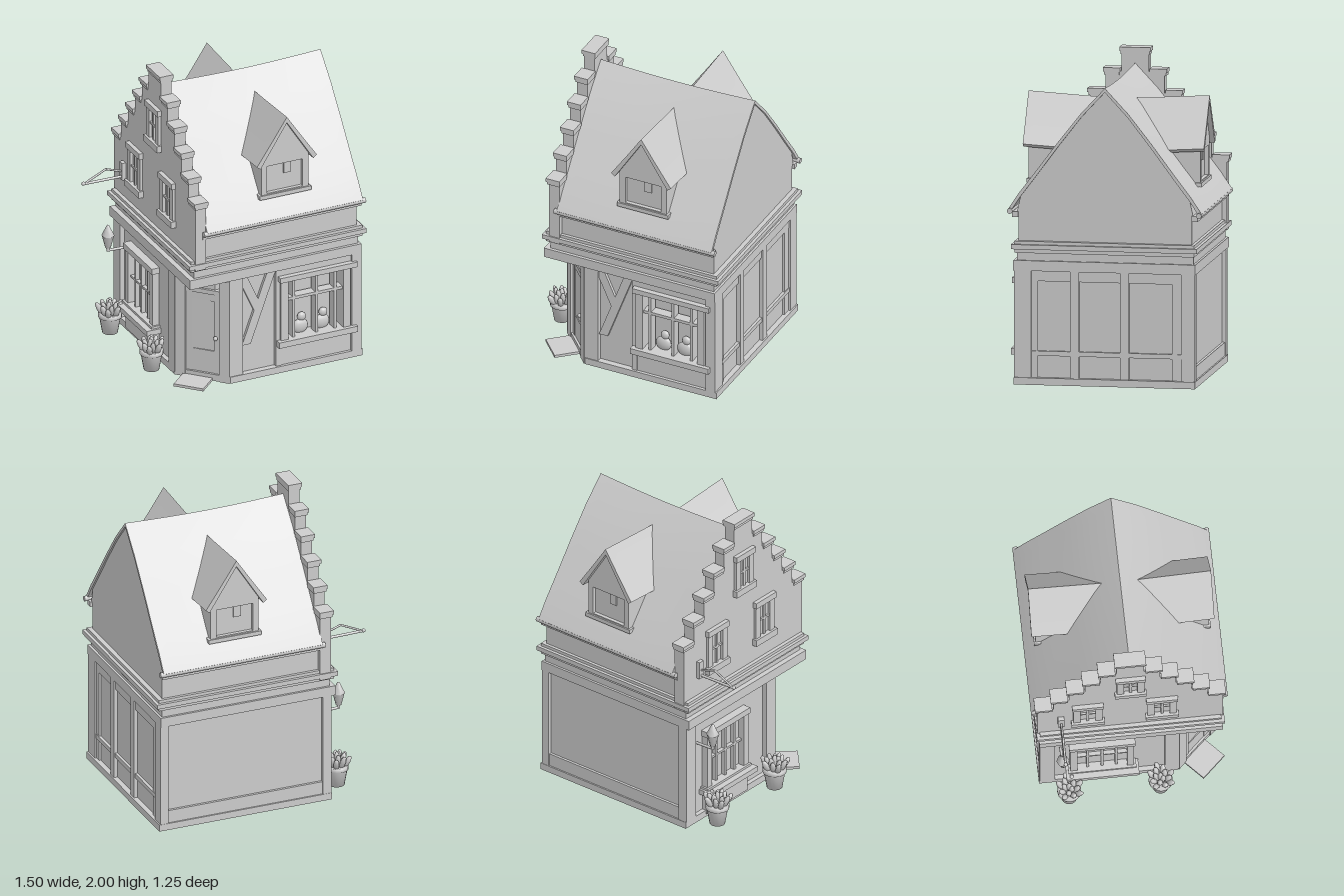
import * as THREE from 'three';
import { toCreasedNormals } from 'three/addons/utils/BufferGeometryUtils.js';

const stone = new THREE.MeshStandardMaterial({ color: 0xcccccc });
stone.name = 'pale grey';

function add(parent, name, geo, x = 0, y = 0, z = 0) {
  const m = new THREE.Mesh(geo, stone);
  m.name = name;
  m.position.set(x, y, z);
  parent.add(m);
  return m;
}
// box given by its limits on each axis
function box(p, name, x0, x1, y0, y1, z0, z1) {
  return add(p, name, new THREE.BoxGeometry(x1 - x0, y1 - y0, z1 - z0),
    (x0 + x1) / 2, (y0 + y1) / 2, (z0 + z1) / 2);
}
const shapeOf = (pts) => new THREE.Shape(pts.map(([a, b]) => new THREE.Vector2(a, b)));
const extrude = (shape, depth, steps = 1) =>
  new THREE.ExtrudeGeometry(shape, { depth, steps, bevelEnabled: false });
// floor-plan outline [x, z] raised from y0 to y1
function slab(p, name, plan, y0, y1) {
  const g = extrude(shapeOf(plan.map(([x, z]) => [x, -z])), y1 - y0).rotateX(-Math.PI / 2);
  return add(p, name, g, 0, y0, 0);
}
// [z, y] outline, symmetric in z, running along x
const alongX = (pts, x0, x1, steps) =>
  extrude(shapeOf(pts), x1 - x0, steps).rotateY(Math.PI / 2).translate(x0, 0, 0);
// lower the vertices by a rule, then smooth all but the sharp edges
function sag(geo, drop) {
  const p = geo.attributes.position;
  for (let i = 0; i < p.count; i++) p.setY(i, p.getY(i) - drop(p.getX(i), p.getY(i), p.getZ(i)));
  return toCreasedNormals(geo, 0.5);
}
// round bar between two points
function bar(p, name, a, b, r) {
  const A = new THREE.Vector3(...a), d = new THREE.Vector3(...b).sub(A);
  const m = add(p, name, new THREE.CylinderGeometry(r, r, d.length(), 8));
  m.position.copy(A).addScaledVector(d, 0.5);
  m.quaternion.setFromUnitVectors(new THREE.Vector3(0, 1, 0), d.normalize());
}
function lathe(p, name, profile, sides) {
  add(p, name, new THREE.LatheGeometry(profile.map(([r, y]) => new THREE.Vector2(r, y)), sides));
}
function group(p, name, x = 0, y = 0, z = 0, ry = 0) {
  const g = new THREE.Group();
  g.name = name;
  g.position.set(x, y, z);
  g.rotation.y = ry;
  p.add(g);
  return g;
}
// window facing local +z, centred on x = 0, with its sill at y = 0
function windowFrame(p, w, h, d, cols, rows) {
  const t = 0.022;
  for (const s of [-1, 1]) box(p, 'windowJamb', s * w / 2 - t, s * w / 2 + t, 0, h, 0, d);
  box(p, 'windowSill', -w / 2 - 0.035, w / 2 + 0.035, -0.03, 0.015, 0, d + 0.015);
  box(p, 'windowHead', -w / 2 - 0.03, w / 2 + 0.03, h - 0.02, h + 0.02, 0, d + 0.01);
  for (let i = 1; i < cols; i++) {
    const x = -w / 2 + w * i / cols;
    box(p, 'mullion', x - 0.008, x + 0.008, 0, h, 0, d * 0.7);
  }
  for (let i = 1; i < rows; i++) {
    const y = h * i / rows;
    box(p, 'glazingBar', -w / 2, w / 2, y - 0.007, y + 0.007, 0, d * 0.65);
  }
}

const ROOF = [[0, 1.9], [0.15, 1.74], [0.3, 1.55], [0.45, 1.35], [0.55, 1.22], [0.62, 1.115]];
const mirrored = (pts) => [...pts.slice(1).reverse().map(([z, y]) => [-z, y]), ...pts];

function buildRoof(g) {
  const under = ROOF.map(([z, y]) => [z * 0.985, y - 0.025]);
  const geo = alongX([...mirrored(ROOF), ...mirrored(under).reverse()], -0.38, 0.71, 16);
  // the ridge sags in the middle
  add(g, 'roof', sag(geo, (x, y) =>
    0.015 * Math.sin(Math.PI * (x + 0.38) / 1.09) * (y - 1.08) / 0.82));
  const wall = ROOF.map(([z, y]) => [Math.min(z * 0.985, 0.565), y - 0.024]);
  add(g, 'plainGable', alongX(mirrored(wall), -0.37, 0.698, 1));
  for (const s of [-1, 1]) {
    bar(g, 'gutter', [-0.4, 1.105, s * 0.605], [0.73, 1.105, s * 0.605], 0.018);
    box(g, 'eaveBoard', -0.4, 0.71, 1.065, 1.1, s * 0.575 - 0.02, s * 0.575 + 0.02);
  }
}

function buildDormer(g, ry) {
  const d = group(g, 'dormer', 0.195, 0, 0, ry);
  const face = shapeOf([[-0.165, 1.24], [0.165, 1.24], [0.165, 1.5], [0, 1.76], [-0.165, 1.5]]);
  face.holes.push(new THREE.Path([[-0.125, 1.27], [-0.125, 1.46], [0.125, 1.46], [0.125, 1.27]]
    .map(([x, y]) => new THREE.Vector2(x, y))));
  add(d, 'dormerFront', extrude(face, 0.3), 0, 0, 0.25);
  box(d, 'dormerPane', -0.13, 0.13, 1.25, 1.48, 0.3, 0.525);
  box(d, 'dormerSill', -0.18, 0.18, 1.235, 1.262, 0.5, 0.56);
  box(d, 'dormerLatch', 0, 0.05, 1.38, 1.46, 0.51, 0.535);
  // roof dips slightly toward the back
  const roof = shapeOf([[-0.21, 1.485], [-0.185, 1.465], [0, 1.755], [0.185, 1.465],
    [0.21, 1.485], [0.1, 1.645], [0, 1.795], [-0.1, 1.645]]);
  add(d, 'dormerRoof', sag(extrude(roof, 0.48, 6).translate(0, 0, 0.1),
    (x, y, z) => 0.06 * (0.58 - z)));
}

function buildSteppedGable(g) {
  const s = group(g, 'steppedGable');
  for (let i = 0; i < 6; i++) {
    const w = 0.1 * (i + 1) - 0.012, top = 2 - 0.134 * i;
    box(s, 'gableStep', -0.45, -0.375, i === 5 ? 0.85 : top - 0.16, top - 0.02, -w, w);
    for (const k of i ? [-1, 1] : [0]) {
      const c = k * (0.1 * i + 0.05), h = i ? 0.055 : 0.1;
      box(s, 'copingStone', -0.463, -0.367, top - 0.025, top, c - h, c + h);
      box(s, 'copingMoulding', -0.456, -0.37, top - 0.045, top - 0.025, c - h + 0.006, c + h - 0.006);
    }
  }
  for (const [z, y, w, h] of [[-0.27, 1.06, 0.14, 0.26], [0.2, 1.06, 0.14, 0.26], [0, 1.5, 0.13, 0.24]])
    windowFrame(group(s, 'gableWindow', -0.45, y, z, -Math.PI / 2), w, h, 0.018, 2, 2);
}

function buildGroundFloor(g) {
  slab(g, 'groundFloorCore', [[0.69, 0.48], [0.69, -0.553], [-0.43, -0.553], [-0.43, 0.31], [-0.26, 0.48]], 0, 0.8);
  slab(g, 'plinth', [[0.725, 0.58], [0.725, -0.58], [-0.46, -0.58], [-0.46, 0.3], [-0.2, 0.58]], 0, 0.045);
  box(g, 'lowerBeam', -0.485, 0.715, 0.725, 0.79, -0.58, 0.585);
  box(g, 'overhang', -0.45, 0.7, 0.77, 0.86, -0.565, 0.565);
  box(g, 'upperStorey', -0.43, 0.695, 0.85, 1.1, -0.555, 0.555);
  box(g, 'cornice', -0.495, 0.745, 0.865, 0.895, -0.595, 0.595);
  box(g, 'corniceMoulding', -0.475, 0.725, 0.84, 0.915, -0.575, 0.575);

  // timbered front wall with shop window
  box(g, 'frontPanel', -0.2, 0.17, 0.02, 0.75, 0.45, 0.54);
  box(g, 'frontPost', -0.21, -0.11, 0.02, 0.74, 0.5, 0.575);
  box(g, 'frontPost', 0.65, 0.715, 0.02, 0.74, 0.47, 0.58);
  box(g, 'frontPost', 0.125, 0.16, 0.02, 0.74, 0.5, 0.565);
  const plank = (name, pts) => add(g, name, extrude(shapeOf(pts), 0.03), 0, 0, 0.53);
  plank('longBrace', [[-0.11, 0.24], [-0.05, 0.24], [0.13, 0.73], [0.07, 0.73]]);
  plank('shortBrace', [[-0.11, 0.73], [-0.11, 0.66], [-0.025, 0.47], [0.005, 0.54], [-0.08, 0.73]]);
  box(g, 'stallRiser', 0.14, 0.67, 0.02, 0.2, 0.45, 0.56);
  box(g, 'windowHeader', 0.14, 0.67, 0.64, 0.74, 0.45, 0.565);
  for (const x of [0.155, 0.59]) box(g, 'shopWindowSide', x, x + 0.05, 0.2, 0.65, 0.45, 0.58);
  box(g, 'shopSill', 0.13, 0.68, 0.185, 0.225, 0.48, 0.605);
  box(g, 'shopHead', 0.14, 0.68, 0.64, 0.675, 0.5, 0.6);
  for (const x of [0.25, 0.41, 0.54]) box(g, 'shopMullion', x - 0.009, x + 0.009, 0.22, 0.65, 0.5, 0.565);
  box(g, 'shopTransom', 0.2, 0.6, 0.49, 0.51, 0.5, 0.565);
  // rounded goods on display
  for (const x of [0.32, 0.47]) {
    add(g, 'goodsBase', new THREE.SphereGeometry(0.05, 12, 8).scale(1.1, 1, 0.5), x, 0.265, 0.51);
    add(g, 'goodsTop', new THREE.SphereGeometry(0.03, 10, 8).scale(1, 1, 0.7), x + 0.01, 0.33, 0.51);
  }

  // three framed bays below the plain gable
  for (const [a, b] of [[-0.575, -0.49], [-0.155, -0.1], [0.165, 0.22], [0.49, 0.575]])
    box(g, 'sidePost', 0.66, 0.715, 0.02, 0.74, a, b);
  for (const [a, b] of [[-0.49, -0.43], [0.43, 0.49]])
    box(g, 'innerPost', 0.66, 0.702, 0.02, 0.74, a, b);
  box(g, 'sideRail', 0.66, 0.708, 0.185, 0.215, -0.5, 0.5);
  box(g, 'sideHeader', 0.66, 0.704, 0.66, 0.74, -0.5, 0.5);

  // broad framed back panel
  for (const [a, b] of [[-0.455, -0.4], [0.66, 0.715]])
    box(g, 'backPost', a, b, 0.02, 0.74, -0.578, -0.5);
  box(g, 'backRail', -0.4, 0.66, 0.04, 0.13, -0.57, -0.5);

  // bay window on the stepped gable side
  box(g, 'leftPost', -0.46, -0.4, 0.02, 0.74, -0.575, -0.48);
  box(g, 'leftPost', -0.46, -0.4, 0.02, 0.74, 0.22, 0.31);
  const bay = group(g, 'bayWindow', -0.42, 0.2, -0.18, -Math.PI / 2);
  windowFrame(bay, 0.36, 0.4, 0.055, 4, 2);
  box(bay, 'bayBase', -0.2, 0.2, -0.18, -0.02, 0, 0.05);
  box(bay, 'baySill', -0.23, 0.23, -0.035, 0, 0, 0.11);

  // corner door with its step
  const door = group(g, 'cornerDoor', -0.325, 0, 0.435, Math.atan2(-0.73, 0.68));
  for (const s of [-1, 1]) {
    box(door, 'doorPost', s * 0.15 - 0.035, s * 0.15 + 0.035, 0, 0.74, -0.05, 0.012);
    box(door, 'doorStile', s * 0.095 - 0.02, s * 0.095 + 0.02, 0.03, 0.6, -0.05, -0.005);
  }
  box(door, 'doorHead', -0.15, 0.15, 0.6, 0.63, -0.05, 0);
  for (const [a, b] of [[0.03, 0.2], [0.55, 0.6]]) box(door, 'doorRail', -0.1, 0.1, a, b, -0.05, -0.008);
  add(door, 'doorKnob', new THREE.SphereGeometry(0.015, 10, 8), 0.09, 0.3, 0.01);
  box(door, 'doorStep', -0.13, 0.07, 0, 0.018, -0.03, 0.17);
}

function buildPot(g, x, z) {
  const p = group(g, 'plantPot', x, 0, z);
  lathe(p, 'pot', [[0, 0.005], [0.05, 0.005], [0.068, 0.11], [0.076, 0.115], [0.076, 0.14], [0.062, 0.14], [0, 0.13]], 16);
  for (let i = 0; i < 15; i++) {
    const a = i * 2.4, r = 0.019 * Math.sqrt(i);
    const leaf = add(p, 'leaf', new THREE.SphereGeometry(0.02, 6, 5).scale(1, 2.4, 1),
      Math.cos(a) * r, 0.185 - r * 0.3, Math.sin(a) * r);
    leaf.rotation.set(Math.sin(a) * r * 8, 0, -Math.cos(a) * r * 8);
  }
}

function buildFittings(g) {
  buildPot(g, -0.57, -0.4);
  buildPot(g, -0.56, 0.18);
  // wall lantern
  const l = group(g, 'lantern', -0.565, 0, -0.44);
  lathe(l, 'lanternBody', [[0, 0.575], [0.018, 0.58], [0.038, 0.66], [0.042, 0.665], [0.02, 0.71], [0.008, 0.735], [0, 0.74]], 6);
  bar(l, 'lanternArm', [0, 0.56, 0], [0.13, 0.555, 0], 0.009);
  bar(l, 'lanternStem', [0, 0.555, 0], [0, 0.59, 0], 0.01);
  // hanging bracket
  const b = group(g, 'signBracket', 0, 0, -0.44);
  bar(b, 'bracketArm', [-0.74, 1.065, 0], [-0.44, 1.06, 0], 0.009);
  bar(b, 'bracketBrace', [-0.72, 1.07, 0], [-0.58, 1.135, 0], 0.007);
  bar(b, 'bracketTie', [-0.58, 1.135, 0], [-0.45, 1.09, 0], 0.007);
  box(b, 'bracketPlate', -0.475, -0.44, 1.04, 1.16, -0.02, 0.02);
  add(b, 'bracketFinial', new THREE.SphereGeometry(0.013, 8, 6), -0.737, 1.067, 0);
}

export function createModel() {
  const house = new THREE.Group();
  house.name = 'shopHouse';
  buildGroundFloor(house);
  buildRoof(house);
  buildDormer(house, 0);
  buildDormer(house, Math.PI);
  buildSteppedGable(house);
  buildFittings(house);
  return house;
}
